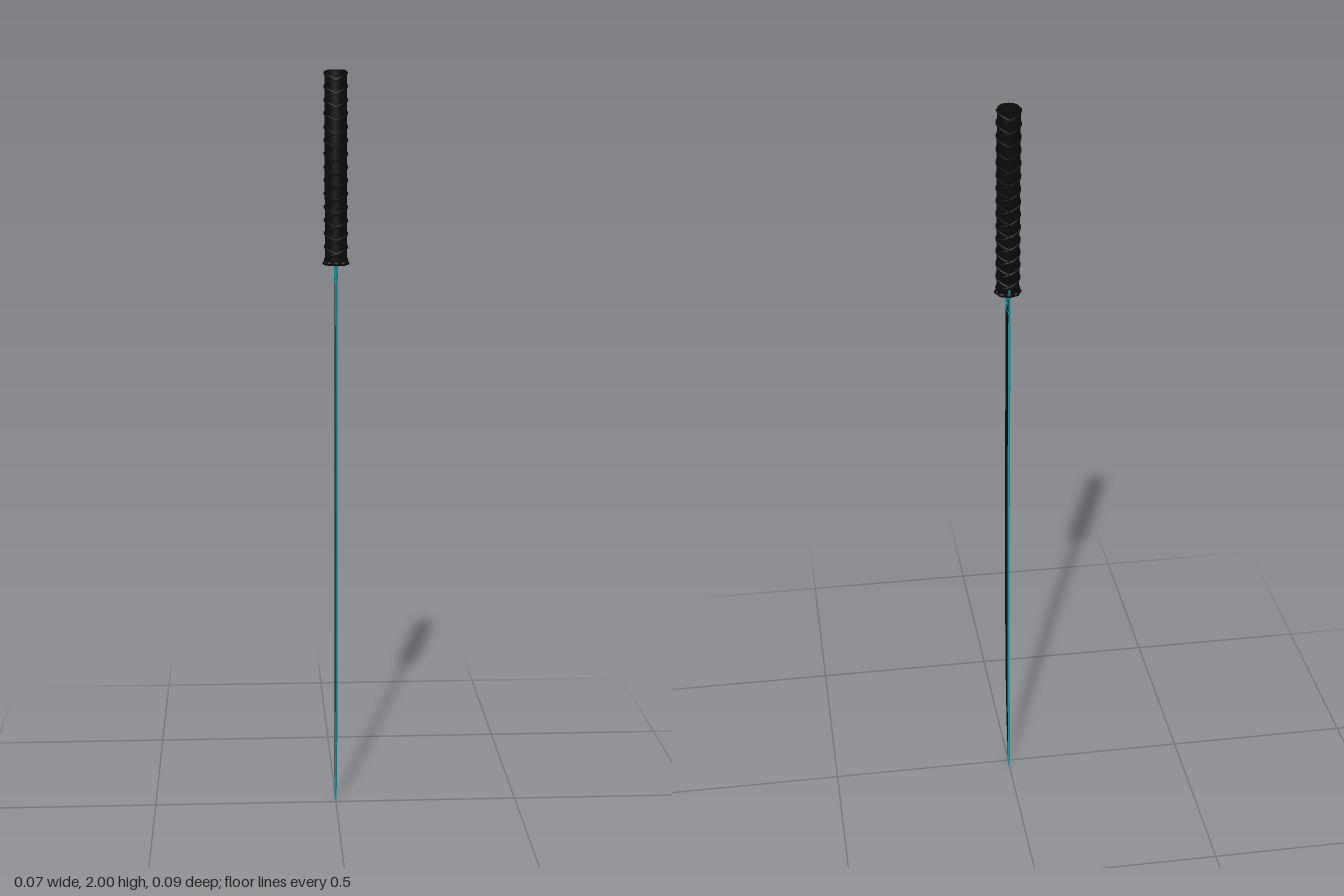
import * as THREE from 'three';

const black = new THREE.MeshStandardMaterial({ color: 0x0a0a0a });
const cyan = new THREE.MeshStandardMaterial({ color: 0x1497a3 });

// Blade outline: [y, spine z, start of cutting edge z, cutting edge z]
const outline = [
  [1.52, -0.025, 0.020, 0.028], [1.3, -0.020, 0.027, 0.034], [1.1, -0.015, 0.030, 0.039],
  [0.9, -0.011, 0.032, 0.042], [0.7, -0.009, 0.033, 0.044], [0.5, -0.008, 0.034, 0.043],
  [0.38, -0.009, 0.030, 0.040], [0.27, -0.011, 0.024, 0.034], [0.18, -0.014, 0.014, 0.022],
  [0.1, -0.017, 0.002, 0.007], [0.04, -0.020, -0.012, -0.009], [0.0, -0.022, -0.0215, -0.021],
];

// Skin a closed cross-section along the blade; section(row) returns [x, z] corners
function loft(section) {
  const pos = [];
  const rings = outline.map((row) => section(row).map(([x, z]) => [x, row[0], z]));
  const n = rings[0].length;
  for (let i = 0; i < rings.length - 1; i++) {
    for (let j = 0; j < n; j++) {
      const k = (j + 1) % n;
      const a = rings[i][j], b = rings[i][k], c = rings[i + 1][k], d = rings[i + 1][j];
      pos.push(...a, ...b, ...c, ...a, ...c, ...d);
    }
  }
  const g = new THREE.BufferGeometry();
  g.setAttribute('position', new THREE.Float32BufferAttribute(pos, 3));
  g.computeVertexNormals();
  return g;
}

function add(parent, name, geometry, material) {
  const mesh = new THREE.Mesh(geometry, material);
  mesh.name = name;
  parent.add(mesh);
  return mesh;
}

export function createModel() {
  const model = new THREE.Group();
  const T = 0.003; // half thickness of the blade
  const bladeMat = black.clone(), edgeMat = cyan.clone();
  bladeMat.side = edgeMat.side = THREE.DoubleSide;

  // Blade body, cutting edge and thin bright spine
  const blade = new THREE.Group();
  blade.name = 'blade';
  model.add(blade);
  add(blade, 'bladeBody', loft(([, s, e]) => [[-T, s], [-T, e], [T, e], [T, s]]), bladeMat);
  add(blade, 'cuttingEdge', loft(([, , e, c]) => [[-T, e], [0, c], [T, e]]), edgeMat);
  add(blade, 'spineLine', loft(([, s]) => [[-T, s], [T, s], [0, s - 0.002]]), edgeMat);

  // Bright collar bands where the blade meets the handle
  for (const y of [1.455, 1.497]) {
    add(model, 'collarBand', new THREE.BoxGeometry(0.0075, 0.005, 0.052), cyan).position.set(0, y, 0.002);
  }

  // Spiral ornament on both faces of the collar
  class Spiral extends THREE.Curve {
    getPoint(t, target = new THREE.Vector3()) {
      const a = t * Math.PI * 5, r = 0.003 + 0.015 * t;
      return target.set(0, Math.sin(a) * r, Math.cos(a) * r);
    }
  }
  const spiral = new THREE.TubeGeometry(new Spiral(), 80, 0.0013, 6);
  for (const side of [-1, 1]) {
    add(model, 'spiralOrnament', spiral, cyan).position.set(side * 0.0035, 1.476, 0.004);
  }

  // Handle, leaning slightly to the back
  const handle = new THREE.Group();
  handle.name = 'handle';
  handle.position.set(0, 1.505, 0.005);
  handle.rotation.x = -0.036;
  model.add(handle);
  const L = 0.494, R = 0.029;
  const core = [[0, 0], [R, 0], [R, L - 0.005], [R - 0.004, L - 0.001], [0, L]]
    .map(([r, y]) => new THREE.Vector2(r, y));
  add(handle, 'gripCore', new THREE.LatheGeometry(core, 32), black);

  // Crossing cord wraps
  class Helix extends THREE.Curve {
    constructor(dir, phase) { super(); this.dir = dir; this.phase = phase; }
    getPoint(t, target = new THREE.Vector3()) {
      const a = this.phase + this.dir * t * Math.PI * 14;
      return target.set(Math.cos(a) * R, 0.006 + t * (L - 0.014), Math.sin(a) * R);
    }
  }
  for (const dir of [-1, 1]) {
    for (const phase of [0, Math.PI]) {
      add(handle, 'cordWrap', new THREE.TubeGeometry(new Helix(dir, phase), 200, 0.003, 6), black);
    }
  }

  // Small petalled guard
  const guard = new THREE.Group();
  guard.name = 'guard';
  guard.position.set(0, 1.503, 0.005);
  model.add(guard);
  add(guard, 'guardDisc', new THREE.CylinderGeometry(0.029, 0.029, 0.01, 32), black);
  const petal = new THREE.SphereGeometry(0.011, 16, 10);
  petal.scale(1, 0.6, 1);
  for (let i = 0; i < 8; i++) {
    const a = (i / 8) * Math.PI * 2;
    add(guard, 'guardPetal', petal, black).position.set(Math.cos(a) * 0.0245, 0, Math.sin(a) * 0.0235);
  }
  return model;
}
